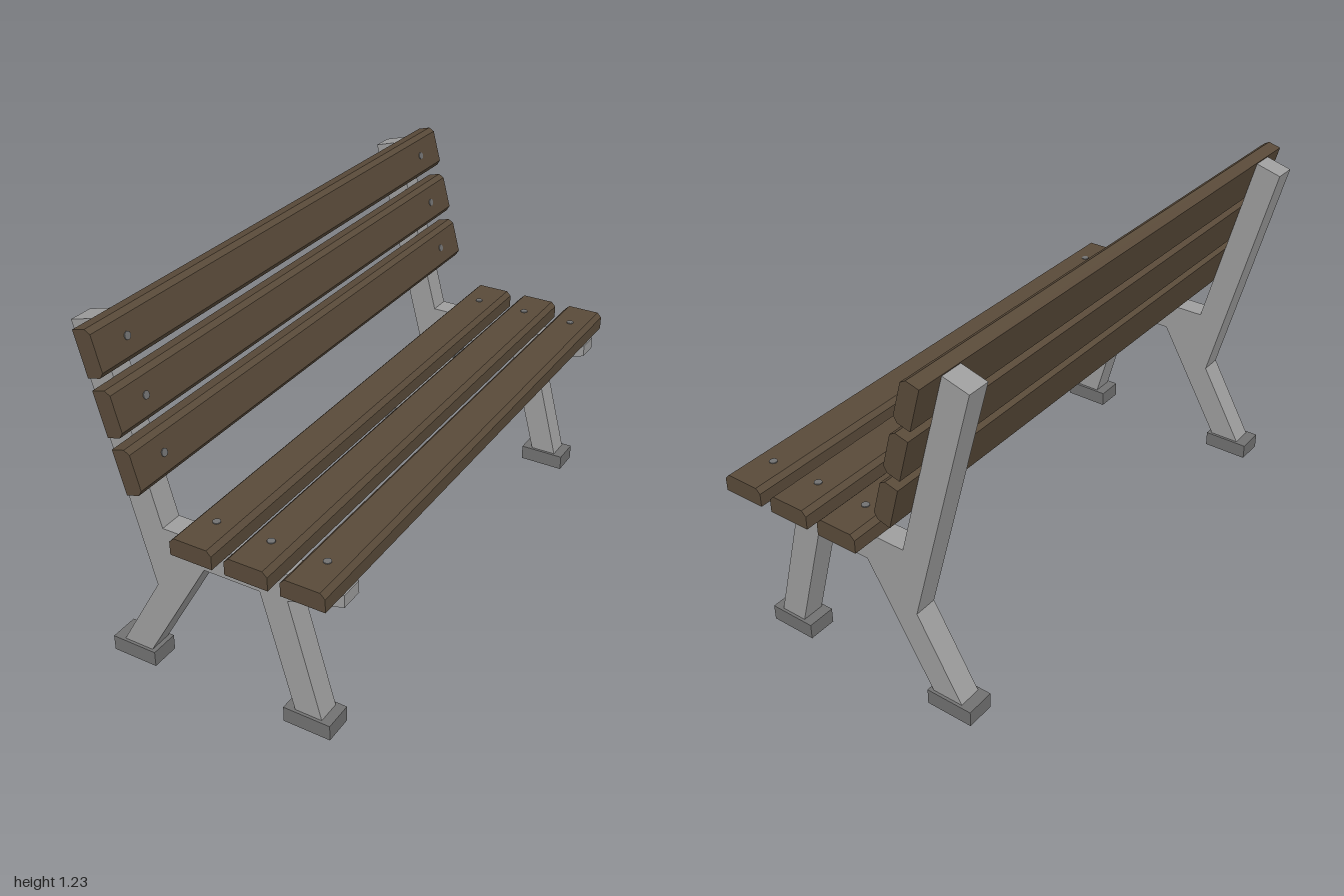
import * as THREE from 'three';

export function createModel() {
  const model = new THREE.Group();
  model.name = 'parkBench';

  const mat = (name, color) => {
    const m = new THREE.MeshStandardMaterial({ color });
    m.name = name;
    return m;
  };
  const concrete = mat('light grey', 0x9e9e9e);
  const footGrey = mat('dark grey', 0x717171);
  const wood = mat('brown wood', 0x594a39);
  const steel = mat('bolt grey', 0x717171);

  const add = (parent, name, geometry, material, x = 0, y = 0, z = 0) => {
    const mesh = new THREE.Mesh(geometry, material);
    mesh.name = name;
    mesh.position.set(x, y, z);
    parent.add(mesh);
    return mesh;
  };

  // Outline in x-y, extruded along z and centred on z = 0
  const extrude = (points, depth) => {
    const shape = new THREE.Shape(points.map(([x, y]) => new THREE.Vector2(x, y)));
    return new THREE.ExtrudeGeometry(shape, { depth, bevelEnabled: false }).translate(0, 0, -depth / 2);
  };

  const supportZ = 0.868;

  // End supports: back post, seat arm and two splayed legs in one outline
  const frameGeo = extrude([
    [-0.385, 0.055], [-0.275, 0.055], [-0.04, 0.46], [0.16, 0.46], [0.27, 0.055],
    [0.365, 0.055], [0.257, 0.463], [0.45, 0.517], [0.45, 0.56], [-0.185, 0.56],
    [-0.361, 1.215], [-0.451, 1.19], [-0.225, 0.335],
  ], 0.08);
  const footGeo = new THREE.BoxGeometry(0.166, 0.055, 0.1);
  for (const side of [-1, 1]) {
    const support = new THREE.Group();
    support.name = 'endSupport';
    support.position.z = side * supportZ;
    add(support, 'frame', frameGeo, concrete);
    add(support, 'backFoot', footGeo, footGrey, -0.342, 0.0275);
    add(support, 'frontFoot', footGeo, footGrey, 0.316, 0.0275);
    model.add(support);
  }

  // Slat with chamfered upper edges; its underside sits on y = 0
  const w = 0.074, t = 0.062, c = 0.016;
  const slatGeo = extrude([
    [-w, 0], [w, 0], [w, t - c], [w - c, t], [-w + c, t], [-w, t - c],
  ], 2);
  const boltGeo = new THREE.CylinderGeometry(0.013, 0.013, 0.008, 12);
  const addSlat = (name, x, y, angle) => {
    const slat = new THREE.Group();
    slat.name = name;
    slat.position.set(x, y, 0);
    slat.rotation.z = angle;
    add(slat, 'plank', slatGeo, wood);
    for (const side of [-1, 1]) add(slat, 'bolt', boltGeo, steel, 0, t - 0.001, side * supportZ);
    model.add(slat);
  };

  for (const x of [-0.011, 0.181, 0.371]) addSlat('seatSlat', x, 0.56, 0);

  // Backrest slats lie on the sloping front of the post
  const slope = Math.atan2(0.176, 0.655);
  for (const y of [0.79, 0.969, 1.148]) {
    addSlat('backSlat', -0.185 - (y - 0.56) * Math.tan(slope), y, slope - Math.PI / 2);
  }

  return model;
}
